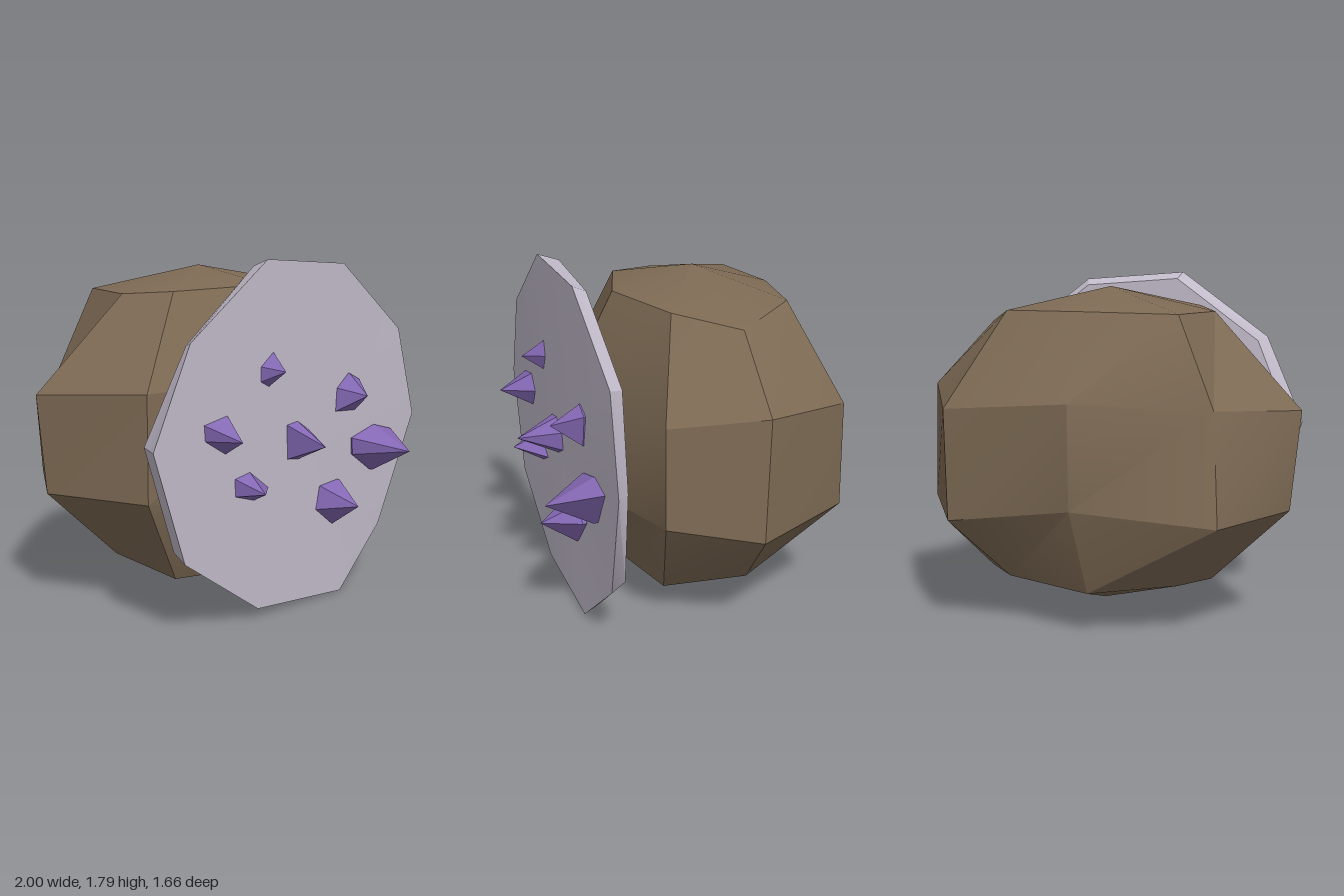
import * as THREE from 'three';
import { toCreasedNormals } from 'three/addons/utils/BufferGeometryUtils.js';

// Skins a stack of rings (each clockwise seen from the first end) closed by two end points.
function loft(first, rings, last, crease) {
  const n = rings[0].length;
  const stack = [Array(n).fill(first), ...rings, Array(n).fill(last)];
  const pos = [];
  for (let i = 0; i < stack.length - 1; i++) {
    for (let j = 0; j < n; j++) {
      const k = (j + 1) % n;
      const a = stack[i][j], b = stack[i][k], c = stack[i + 1][k], d = stack[i + 1][j];
      if (i > 0) pos.push(...a, ...b, ...(i < stack.length - 2 ? c : d));
      if (i === 0) pos.push(...a, ...c, ...d);
      else if (i < stack.length - 2) pos.push(...a, ...c, ...d);
    }
  }
  const g = new THREE.BufferGeometry();
  g.setAttribute('position', new THREE.Float32BufferAttribute(pos, 3));
  g.computeVertexNormals();
  return crease > 0 ? toCreasedNormals(g, crease) : g;
}

function part(name, geometry, color, flatShading = false) {
  const mesh = new THREE.Mesh(geometry, new THREE.MeshStandardMaterial({ color, flatShading }));
  mesh.name = name;
  return mesh;
}

// Boulder rings from top to bottom, eight corners each: left, back, right, front
const rockRings = [
  [[-0.54, 1.6, -0.13], [-0.43, 1.6, -0.53], [0.04, 1.61, -0.57], [0.45, 1.61, -0.49],
    [0.64, 1.54, -0.17], [0.5, 1.62, 0.15], [0.07, 1.64, 0.3], [-0.42, 1.62, 0.13]],
  [[-1, 1.12, -0.24], [-0.62, 1.15, -0.61], [0.04, 1.19, -0.83], [0.72, 1.13, -0.69],
    [0.97, 1.2, -0.17], [0.74, 1.13, 0.27], [0, 1.2, 0.5], [-0.7, 1.15, 0.26]],
  [[-0.95, 0.61, -0.24], [-0.66, 0.6, -0.71], [0.04, 0.67, -0.81], [0.7, 0.57, -0.71],
    [1, 0.58, -0.14], [0.77, 0.62, 0.28], [0, 0.6, 0.49], [-0.7, 0.6, 0.26]],
  [[-0.55, 0.22, -0.2], [-0.42, 0.24, -0.45], [0, 0.22, -0.63], [0.46, 0.24, -0.47],
    [0.65, 0.22, -0.21], [0.48, 0.15, 0.18], [0, 0.13, 0.26], [-0.42, 0.13, 0.13]],
];

// Slab corners: x, y, front z, back z
const slabRim = [
  [-0.23, 1.79, 0.6, 0.49], [0.33, 1.75, 0.585, 0.51], [0.81, 1.38, 0.565, 0.49],
  [0.94, 0.9, 0.575, 0.51], [0.71, 0.3, 0.54, 0.455], [0.36, 0, 0.575, 0.48],
  [-0.26, 0.05, 0.58, 0.48], [-0.75, 0.39, 0.59, 0.455], [-0.93, 0.95, 0.585, 0.45],
  [-0.72, 1.43, 0.6, 0.52],
];

// Crystals: tip, back depth, and outline corners relative to the tip
const crystals = [
  { tip: [-0.21, 1.26, 0.71], back: 0.5, rim: [[-0.06, 0.02], [0.03, 0.09], [0.05, 0], [0, -0.09], [-0.06, -0.06]] },
  { tip: [-0.54, 0.97, 0.76], back: 0.49, rim: [[-0.09, 0.07], [0.06, 0.1], [0.12, 0.01], [0.05, -0.09], [-0.08, -0.01]] },
  { tip: [-0.37, 0.69, 0.74], back: 0.49, rim: [[-0.06, 0.06], [0.04, 0.08], [0.17, -0.02], [0.07, -0.07], [-0.06, -0.03]] },
  { tip: [-0.02, 0.88, 0.8], back: 0.48, rim: [[-0.06, 0.09], [0.02, 0.1], [0.11, 0.04], [0.1, -0.06], [0.03, -0.1], [-0.05, -0.09]] },
  { tip: [0.37, 1.08, 0.73], back: 0.475, rim: [[-0.07, 0.03], [0.02, 0.1], [0.1, 0.06], [0.07, -0.1], [-0.08, -0.09]] },
  { tip: [0.6, 0.77, 0.83], back: 0.49, rim: [[-0.18, 0.06], [0, 0.11], [0.14, 0.07], [-0.01, -0.14], [-0.17, -0.03]] },
  { tip: [0.27, 0.52, 0.77], back: 0.465, rim: [[-0.09, 0.09], [0.06, 0.1], [0.13, 0.02], [0.01, -0.13], [-0.12, -0.03]] },
];

export function createModel() {
  const group = new THREE.Group();

  // Faceted boulder
  group.add(part('boulder',
    loft([0, 1.725, -0.16], rockRings, [0.03, 0.07, -0.16], 0.42), 0x7d6a54));

  // Ten-sided stone slab, its back face slightly smaller
  const front = slabRim.map(([x, y, z]) => [x, y, z]);
  const back = slabRim.map(([x, y, , z]) => [x * 0.94, 0.9 + (y - 0.9) * 0.96, z]);
  group.add(part('slab', loft([0, 0.9, 0.59], [front, back], [0, 0.9, 0.49], 0.5), 0xc2bbca));

  // Crystals growing through the slab
  const cluster = new THREE.Group();
  cluster.name = 'crystals';
  for (const { tip: [x, y, z], back: depth, rim } of crystals) {
    const base = rim.map(([dx, dy]) => [x + dx, y + dy, 0.585]);
    const foot = rim.map(([dx, dy]) => [x + dx * 0.9, y + dy * 0.9, depth]);
    cluster.add(part('crystal', loft([x, y, z], [base, foot], [x, y, depth], 0), 0x8468b4, true));
  }
  group.add(cluster);
  return group;
}
